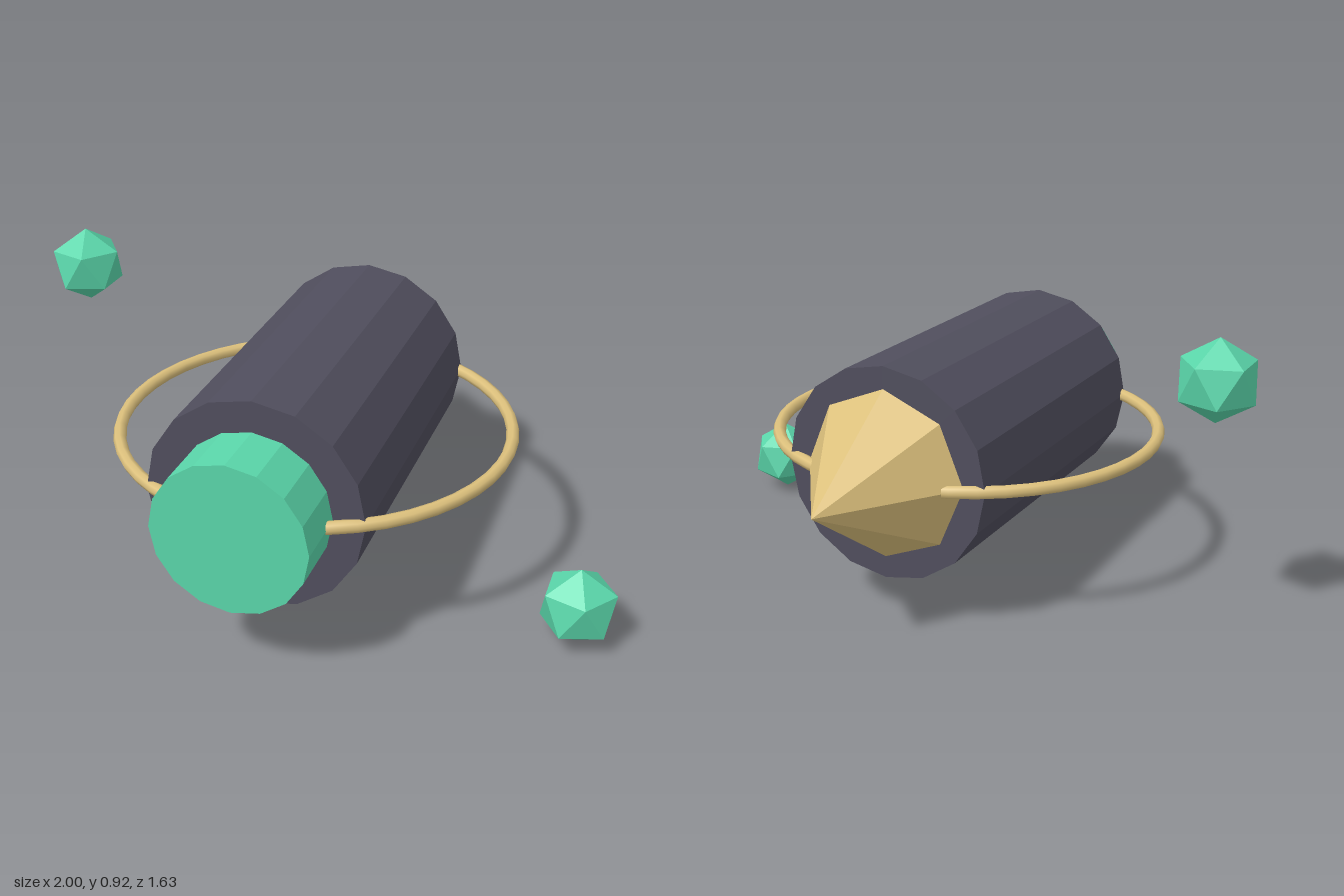
import * as THREE from 'three';

const AXIS_Y = 0.46; // height of the main axis

// Faceted normals for the low-poly parts
function faceted(geometry) {
  const g = geometry.index ? geometry.toNonIndexed() : geometry;
  g.computeVertexNormals();
  return g;
}

export function createModel() {
  const model = new THREE.Group();
  const material = (name, color) => {
    const m = new THREE.MeshStandardMaterial({ color });
    m.name = name;
    return m;
  };
  const slate = material('slate', 0x504e5d);
  const gold = material('gold', 0xdcc07c);
  const green = material('green', 0x5ad6aa);

  const add = (name, geometry, mat, x, y, z) => {
    const mesh = new THREE.Mesh(geometry, mat);
    mesh.name = name;
    mesh.position.set(x, y, z);
    model.add(mesh);
    return mesh;
  };

  // Cylindrical part lying along z between z0 and z1
  const barrel = (name, radius, z0, z1, mat) => {
    const g = new THREE.CylinderGeometry(radius, radius, z1 - z0, 16).rotateX(Math.PI / 2);
    return add(name, faceted(g), mat, 0, AXIS_Y, (z0 + z1) / 2);
  };
  barrel('body', 0.331, -0.433, 0.623, slate);
  barrel('frontLens', 0.235, 0.6, 0.815, green);

  // Eight-sided spike pointing backwards
  const spike = new THREE.ConeGeometry(0.264, 0.385, 8).rotateX(-Math.PI / 2);
  add('rearSpike', faceted(spike), gold, 0, AXIS_Y, -0.6225);

  // Horizontal ring passing through the body's ends
  const ring = new THREE.TorusGeometry(0.611, 0.02, 8, 48).rotateX(Math.PI / 2);
  add('ring', ring, gold, 0, AXIS_Y, 0.0975);

  // Floating crystals, each turned to stand on a corner
  const crystal = new THREE.IcosahedronGeometry(0.1235, 0).rotateZ(-Math.atan(2 / (1 + Math.sqrt(5))));
  add('rightCrystal', crystal, green, -0.889, 0.795, -0.127);
  add('leftCrystal', crystal, green, 0.889, 0.1235, 0.318);

  return model;
}
